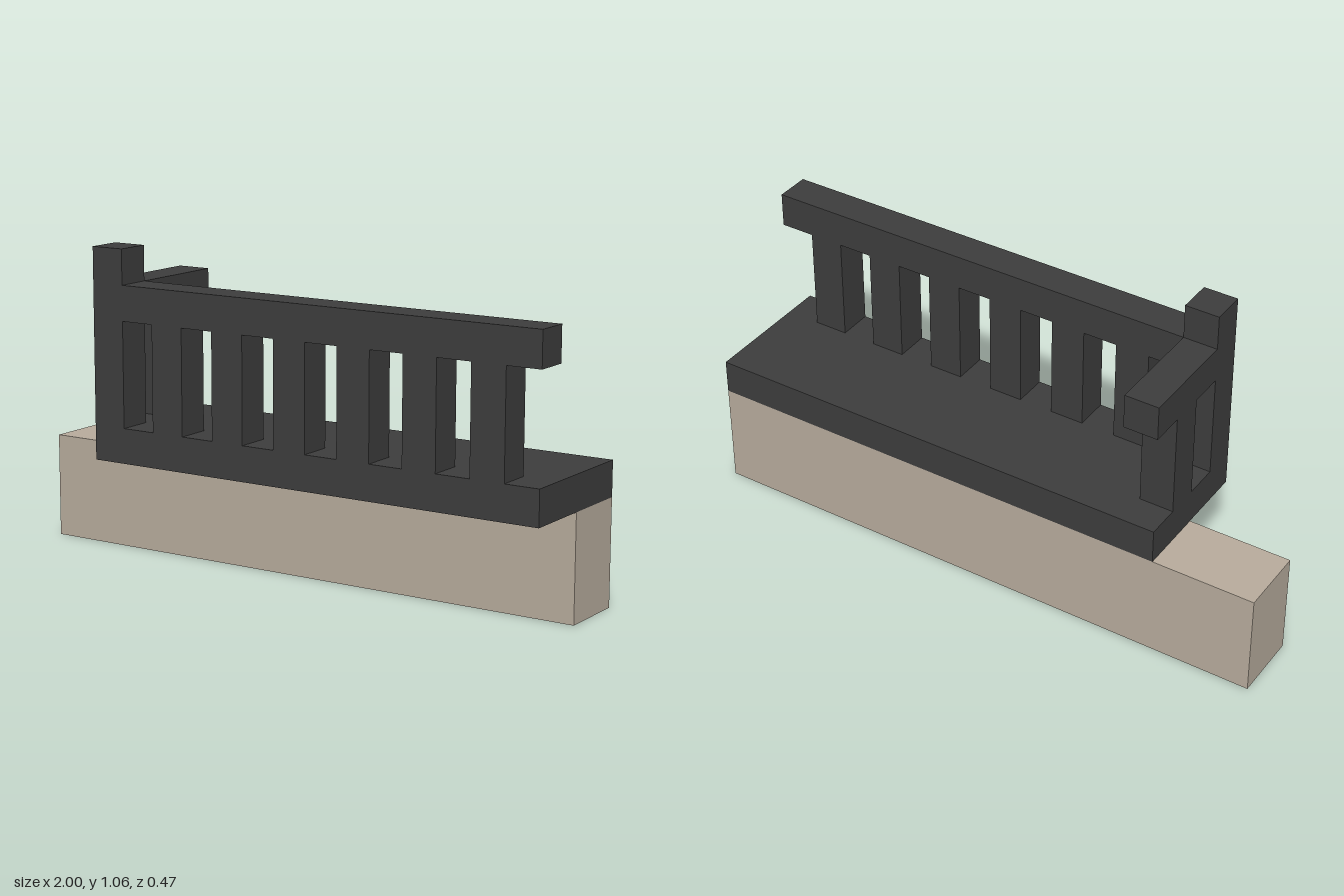
import * as THREE from 'three';

const U = 2 / 17; // one grid step: the thickness of every bar

export function createModel() {
  const stone = new THREE.MeshStandardMaterial({ name: 'warm stone', color: 0xb8ac9d });
  const iron = new THREE.MeshStandardMaterial({ name: 'dark iron', color: 0x3d3d3d });
  const model = new THREE.Group();
  model.name = 'balcony';

  // Box between two corners, given in grid steps
  function box(name, material, [x0, y0, z0], [x1, y1, z1], parent = model) {
    const geometry = new THREE.BoxGeometry((x1 - x0) * U, (y1 - y0) * U, (z1 - z0) * U);
    const mesh = new THREE.Mesh(geometry, material);
    mesh.position.set((x0 + x1) / 2, (y0 + y1) / 2, (z0 + z1) / 2).multiplyScalar(U);
    mesh.name = name;
    parent.add(mesh);
  }

  // Supporting wall and the floor slab overhanging it to the front
  box('wallBeam', stone, [-8.5, 0, -2], [8.5, 3, 0]);
  box('floorSlab', iron, [-5.5, 3, -2], [8.5, 4, 2]);

  // Railing: corner post, two handrails and the balusters
  const railing = new THREE.Group();
  railing.name = 'railing';
  model.add(railing);
  box('cornerPost', iron, [-5.5, 4, 1], [-4.5, 9, 2], railing);
  box('frontHandrail', iron, [-4.5, 7, 1], [8.5, 8, 2], railing);
  box('sideHandrail', iron, [-5.5, 7, -2], [-4.5, 8, 1], railing);
  for (let i = 0; i < 6; i++) {
    const x = -3.5 + 2 * i;
    box('frontBaluster', iron, [x, 4, 1], [x + 1, 7, 2], railing);
  }
  box('sideBaluster', iron, [-5.5, 4, -1], [-4.5, 7, 0], railing);

  return model;
}
